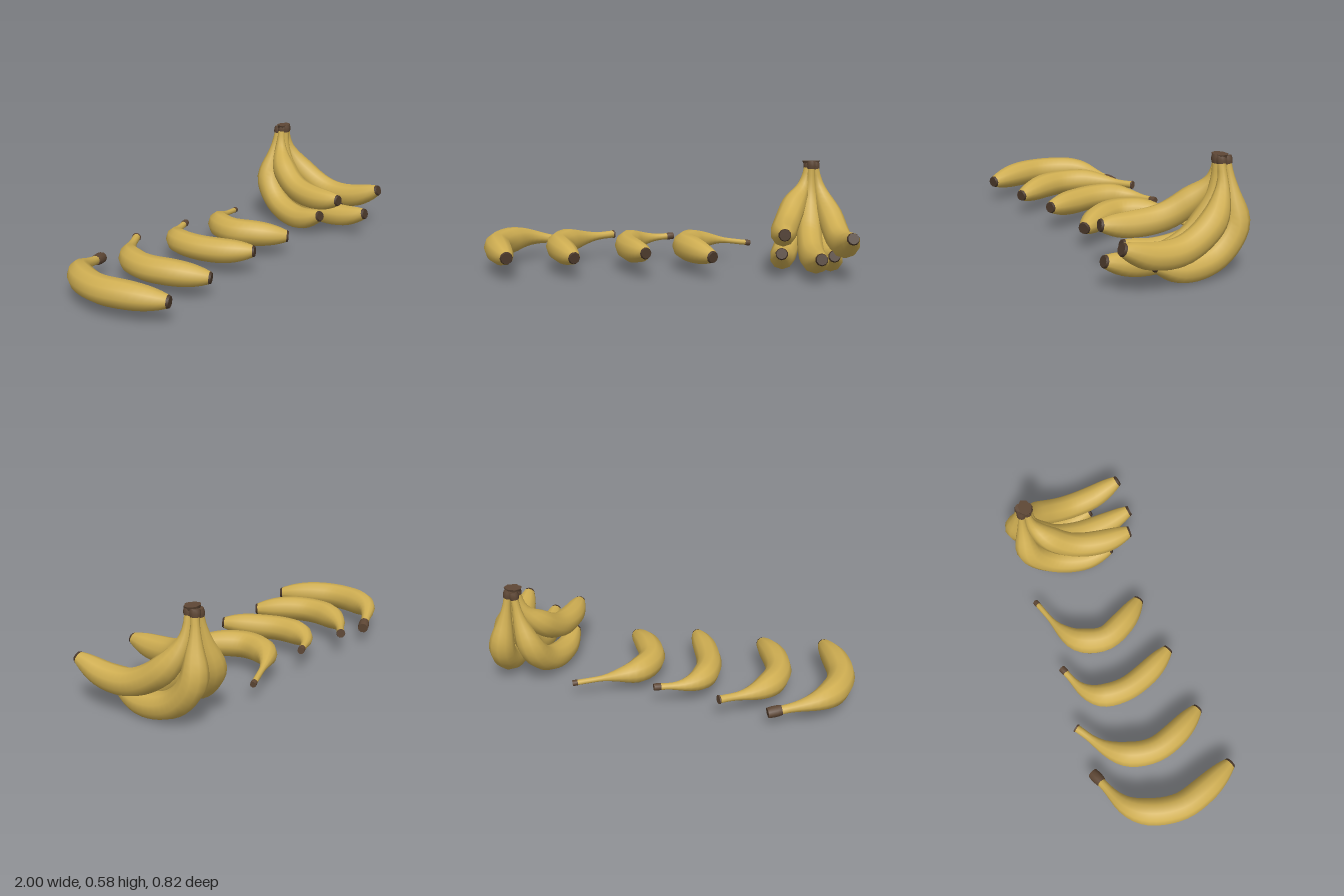
import * as THREE from 'three';

function material(name, color) {
  const m = new THREE.MeshStandardMaterial({ color });
  m.name = name;
  return m;
}
const peel = material('yellow peel', 0xcfae52);
const stemBrown = material('stem brown', 0x5e4735);
const tipBrown = material('tip brown', 0x4a382a);

const SIDES = 10;
const TIP_END = 0.014;
const { smoothstep, lerp } = THREE.MathUtils;

// Closed sweep along part of a curve, with a radius given by a rule.
function sweep(curve, ref, t0, t1, steps, radius) {
  const pos = [], idx = [], rings = [];
  for (let i = 0; i <= steps; i++) {
    const t = lerp(t0, t1, i / steps);
    const c = curve.getPointAt(t), tan = curve.getTangentAt(t);
    const n = new THREE.Vector3().crossVectors(ref, tan).normalize();
    const b = new THREE.Vector3().crossVectors(tan, n);
    const r = radius(t);
    const ring = [];
    for (let j = 0; j < SIDES; j++) {
      const a = (j / SIDES) * Math.PI * 2;
      ring.push(c.clone().addScaledVector(n, r * Math.cos(a)).addScaledVector(b, r * Math.sin(a)));
    }
    rings.push({ c, ring });
    ring.forEach(v => pos.push(v.x, v.y, v.z));
  }
  for (let i = 0; i < steps; i++) {
    for (let j = 0; j < SIDES; j++) {
      const a = i * SIDES + j, b = i * SIDES + (j + 1) % SIDES;
      idx.push(a, b, a + SIDES, b, b + SIDES, a + SIDES);
    }
  }
  // End discs have their own vertices so their rims stay sharp.
  for (const end of [0, steps]) {
    const { c, ring } = rings[end];
    const base = pos.length / 3;
    [c, ...ring].forEach(v => pos.push(v.x, v.y, v.z));
    for (let j = 0; j < SIDES; j++) {
      const a = base + 1 + j, b = base + 1 + (j + 1) % SIDES;
      idx.push(base, ...(end ? [a, b] : [b, a]));
    }
  }
  const g = new THREE.BufferGeometry();
  g.setAttribute('position', new THREE.Float32BufferAttribute(pos, 3));
  g.setIndex(idx);
  g.computeVertexNormals();
  return g;
}

function part(group, name, geometry, mat) {
  const m = new THREE.Mesh(geometry, mat);
  m.name = name;
  group.add(m);
}

// Fruit from blossom tip (t = 0) to stem end (t = 1). It narrows around
// t = neck, and a flared dark cap begins at t = cap.
function banana(name, points, ref, { girth = 0.07, neck = 0.77, stem = 0.021, cap = 0.955, flare = 1.3 }) {
  const curve = new THREE.CatmullRomCurve3(points);
  const radius = t => {
    const belly = girth * (1 - 0.6 * Math.max(0, 1 - t / 0.35) ** 3);
    return lerp(belly, stem, smoothstep(t, neck - 0.17, neck + 0.17));
  };
  const capRadius = t => {
    const u = (t - cap) / (1 - cap);
    return radius(t) * (1 + (flare - 1) * Math.sin(Math.PI * (0.15 + 0.65 * u)));
  };
  const g = new THREE.Group();
  g.name = name;
  part(g, 'blossomTip', sweep(curve, ref, 0, TIP_END, 1, radius), tipBrown);
  part(g, 'peel', sweep(curve, ref, TIP_END, cap, 24, radius), peel);
  part(g, 'stemCap', sweep(curve, ref, cap, 1, 3, capRadius), stemBrown);
  return g;
}

// Fruit lying flat: [x, z] path, with its own height at the tip and stem.
function looseBanana(name, path, tipY, stemY, form) {
  const last = path.length - 1;
  const points = path.map(([x, z], i) =>
    new THREE.Vector3(x, i === 0 ? tipY : i === last ? stemY : 0.133, z));
  return banana(name, points, new THREE.Vector3(0, 1, 0), form);
}

// Fruit hanging from the crown: [x, y, z] path.
function bunchBanana(name, path) {
  const points = path.map(p => new THREE.Vector3(...p));
  return banana(name, points, new THREE.Vector3(1, 0, 0), {});
}

export function createModel() {
  const model = new THREE.Group();
  model.name = 'bananas';

  // Row of loose fruit
  model.add(
    looseBanana('looseBanana1',
      [[-0.81, 0.325], [-0.895, 0.12], [-0.925, -0.02], [-0.89, -0.18], [-0.81, -0.285], [-0.575, -0.382]],
      0.125, 0.095, { girth: 0.073, neck: 0.73, stem: 0.024, cap: 0.92 }),
    looseBanana('looseBanana2',
      [[-0.465, 0.285], [-0.56, 0.1], [-0.592, -0.03], [-0.565, -0.16], [-0.485, -0.265], [-0.32, -0.375]],
      0.12, 0.138, { neck: 0.74, cap: 0.99, flare: 1.2 }),
    looseBanana('looseBanana3',
      [[-0.095, 0.268], [-0.18, 0.095], [-0.218, -0.05], [-0.2, -0.18], [-0.13, -0.26], [0.028, -0.325]],
      0.145, 0.138, { girth: 0.068, neck: 0.74, stem: 0.018, cap: 0.95, flare: 1.1 }),
    looseBanana('looseBanana4',
      [[0.252, 0.235], [0.15, 0.09], [0.102, -0.04], [0.145, -0.17], [0.235, -0.24], [0.472, -0.317]],
      0.12, 0.1, { girth: 0.072, neck: 0.67, stem: 0.015, cap: 0.965, flare: 1.1 }));

  // Hanging bunch
  const bunch = new THREE.Group();
  bunch.name = 'bunch';
  bunch.add(
    bunchBanana('upperRightBanana', [[0.61, 0.255, 0.328], [0.618, 0.237, 0.16], [0.65, 0.262, 0],
      [0.7, 0.345, -0.125], [0.757, 0.44, -0.193], [0.79, 0.58, -0.21]]),
    bunchBanana('upperLeftBanana', [[0.945, 0.25, 0.393], [0.934, 0.186, 0.22], [0.926, 0.19, 0.05],
      [0.9, 0.29, -0.118], [0.853, 0.425, -0.196], [0.818, 0.58, -0.205]]),
    bunchBanana('middleBanana', [[0.79, 0.145, 0.402], [0.781, 0.105, 0.24], [0.779, 0.115, 0.07],
      [0.786, 0.2, -0.095], [0.796, 0.35, -0.18], [0.803, 0.585, -0.195]]),
    bunchBanana('lowerLeftBanana', [[0.885, 0.122, 0.19], [0.886, 0.075, 0.03], [0.885, 0.115, -0.15],
      [0.876, 0.245, -0.26], [0.85, 0.395, -0.254], [0.818, 0.575, -0.235]]),
    bunchBanana('lowerRightBanana', [[0.607, 0.137, 0.21], [0.626, 0.088, 0.04], [0.67, 0.13, -0.14],
      [0.712, 0.25, -0.248], [0.764, 0.405, -0.25], [0.795, 0.57, -0.235]]));

  // Woody crown where the stems meet
  const crown = new THREE.CylinderGeometry(0.05, 0.032, 0.045, 7);
  crown.scale(1, 1, 0.72).translate(0.803, 0.563, -0.21);
  part(bunch, 'crown', crown, stemBrown);
  model.add(bunch);
  return model;
}
